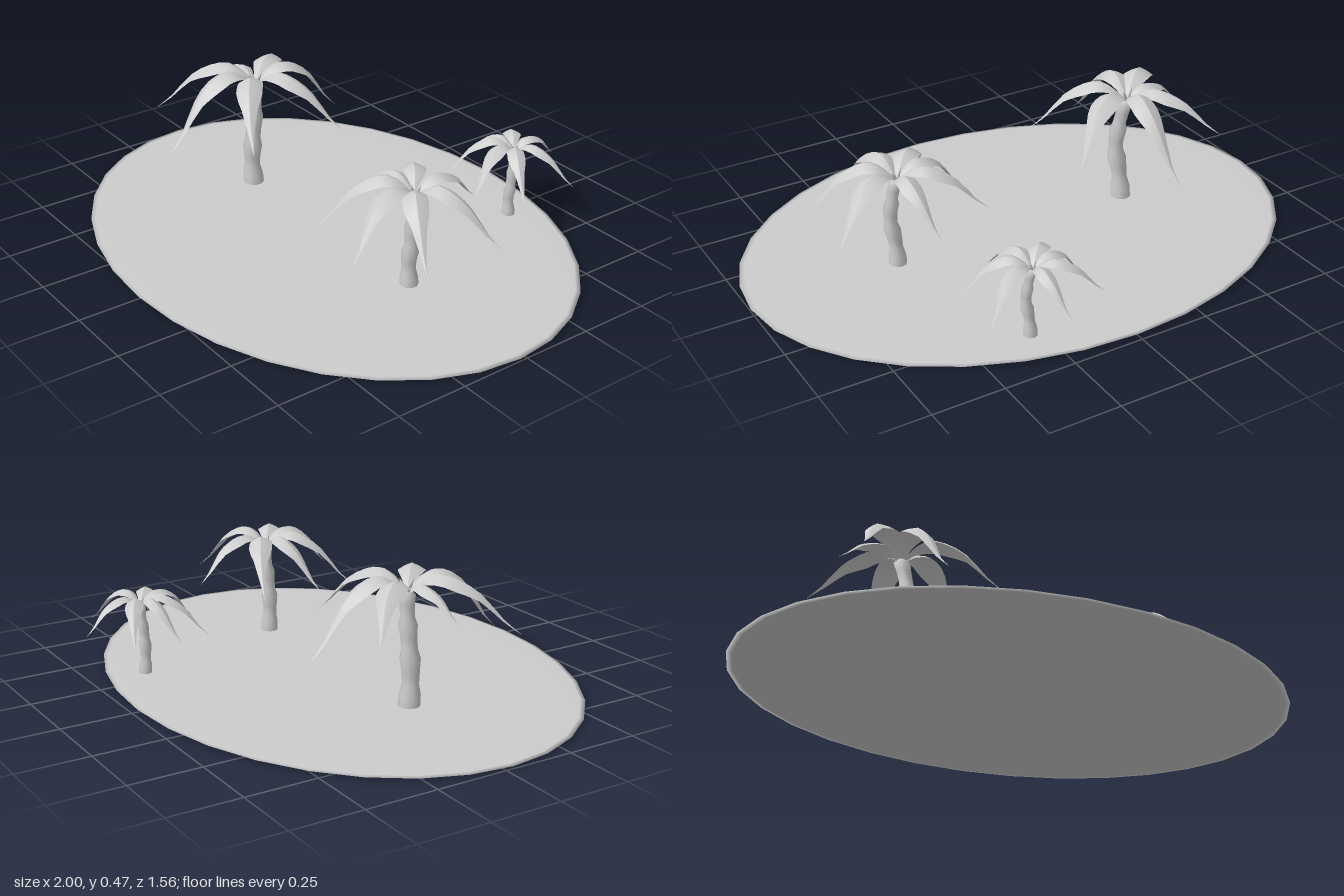
import * as THREE from 'three';
import { mergeGeometries } from 'three/addons/utils/BufferGeometryUtils.js';

const solid = new THREE.MeshStandardMaterial({ color: 0xcccccc });
const thin = new THREE.MeshStandardMaterial({ color: 0xcccccc, side: THREE.DoubleSide });

// Skins a list of equally long point rows with a smooth surface.
function loft(rows) {
  const n = rows[0].length, pos = [], idx = [];
  rows.forEach(row => row.forEach(p => pos.push(p.x, p.y, p.z)));
  for (let i = 0; i < rows.length - 1; i++) {
    for (let j = 0; j < n - 1; j++) {
      const a = i * n + j, b = a + n;
      idx.push(a, b, a + 1, a + 1, b, b + 1);
    }
  }
  const g = new THREE.BufferGeometry();
  g.setAttribute('position', new THREE.Float32BufferAttribute(pos, 3));
  g.setIndex(idx);
  g.computeVertexNormals();
  return g;
}

// Knotted trunk of unit height: [height, radius] rings, shifted along a bend.
function trunkGeometry() {
  const rings = [[0, 0.093], [0.1, 0.09], [0.19, 0.07], [0.28, 0.074], [0.4, 0.088], [0.48, 0.068],
    [0.58, 0.07], [0.69, 0.08], [0.76, 0.06], [0.87, 0.062], [0.96, 0.072], [1, 0.03]];
  const bend = new THREE.CatmullRomCurve3([[0, 0, 0.04], [0.01, 0.25, 0.06], [0.05, 0.5, 0.07],
    [0.04, 0.75, 0.04], [0, 1, 0]].map(p => new THREE.Vector3(...p)));
  const g = new THREE.LatheGeometry(rings.map(([y, r]) => new THREE.Vector2(r, y)), 10);
  const p = g.attributes.position;
  for (let i = 0; i < p.count; i++) {
    const c = bend.getPoint(p.getY(i));
    p.setXYZ(i, p.getX(i) + c.x, p.getY(i), p.getZ(i) + c.z);
  }
  // keep the smooth lathe normals, which stay seamless
  return g;
}

// Tent-folded frond along +x: rises, arches over and tapers to a fine tip.
// Stations: [distance, rise, share of droop, half width]
const STATIONS = [[0, 0, 0, 0.025], [0.12, 0.12, 0, 0.06], [0.28, 0.2, 0, 0.125], [0.45, 0.2, 0.1, 0.135],
  [0.65, 0.18, 0.4, 0.08], [0.85, 0.09, 0.82, 0.025], [1, 0.02, 1, 0.002]];

function frondGeometry(droop, length) {
  const path = new THREE.CatmullRomCurve3(STATIONS.map(([d, a, b]) => new THREE.Vector3(d, a - droop * b, 0)));
  const width = new THREE.CatmullRomCurve3(STATIONS.map(s => new THREE.Vector3(s[3], 0, 0)));
  const halves = [-1, 1].map(side => {
    const rows = [];
    for (let i = 0; i <= 12; i++) {
      const t = i / 12, c = path.getPoint(t), w = width.getPoint(t).x;
      const sway = 0.05 * Math.sin(Math.PI * c.x);
      const ridge = new THREE.Vector3(c.x, c.y, sway);
      const edge = new THREE.Vector3(c.x - w * 0.1, c.y - w * 0.5, sway + side * w);
      const mid = ridge.clone().lerp(edge, 0.5);
      mid.y += w * 0.06;
      rows.push(side < 0 ? [edge, mid, ridge] : [ridge, mid, edge]);
    }
    // rows run outward, so flip each to make the top the front face
    return loft(rows.map(r => r.reverse()));
  });
  return mergeGeometries(halves).scale(length, length, length);
}

// Small upright shoot in the heart of the crown.
function shootGeometry() {
  return new THREE.ConeGeometry(0.03, 0.14, 6).translate(0, 0.07, 0);
}

// Fronds: [angle in degrees from +x towards +z, length, droop]
const WIDE = [[-88, 0.88, 0.5], [-30, 0.87, 0.36], [35, 0.86, 0.36], [91, 0.89, 0.5],
  [134, 0.92, 0.32], [171, 0.62, 0.25], [228, 0.85, 0.25]];
const EVEN = [[-94, 0.83, 0.36], [-26, 0.91, 0.4], [31, 0.92, 0.42], [76, 0.93, 0.4],
  [129, 0.97, 0.42], [165, 0.85, 0.42], [210, 0.92, 0.36]];

function makePalm(name, x, z, height, fronds) {
  const palm = new THREE.Group();
  palm.name = name;
  const trunk = new THREE.Mesh(trunkGeometry(), solid);
  trunk.name = 'trunk';
  const crown = new THREE.Group();
  crown.name = 'crown';
  crown.position.y = 0.97;
  fronds.forEach(([angle, length, droop], i) => {
    const turn = -THREE.MathUtils.degToRad(angle);
    const frond = new THREE.Mesh(frondGeometry(droop, length), thin);
    frond.name = 'frond' + (i + 1);
    frond.rotation.y = turn;
    crown.add(frond);
    if (i % 2) {
      const shoot = new THREE.Mesh(shootGeometry(), solid);
      shoot.name = 'shoot';
      shoot.rotation.set(0, turn, -0.5);
      crown.add(shoot);
    }
  });
  palm.add(trunk, crown);
  palm.position.set(x, 0.012, z);
  palm.scale.setScalar(height);
  return palm;
}

export function createModel() {
  const model = new THREE.Group();
  model.name = 'palmIsland';

  // Very flat oval ground
  const ground = new THREE.Mesh(new THREE.SphereGeometry(1, 32, 16), solid);
  ground.name = 'ground';
  ground.scale.set(1, 0.008, 0.757);
  ground.position.set(0, 0.008, 0.027);
  model.add(ground);

  model.add(
    makePalm('largePalm', -0.447, 0.017, 0.4, WIDE),
    makePalm('mediumPalm', 0.465, 0.017, 0.335, EVEN),
    makePalm('smallPalm', 0.297, -0.57, 0.25, EVEN),
  );
  return model;
}
